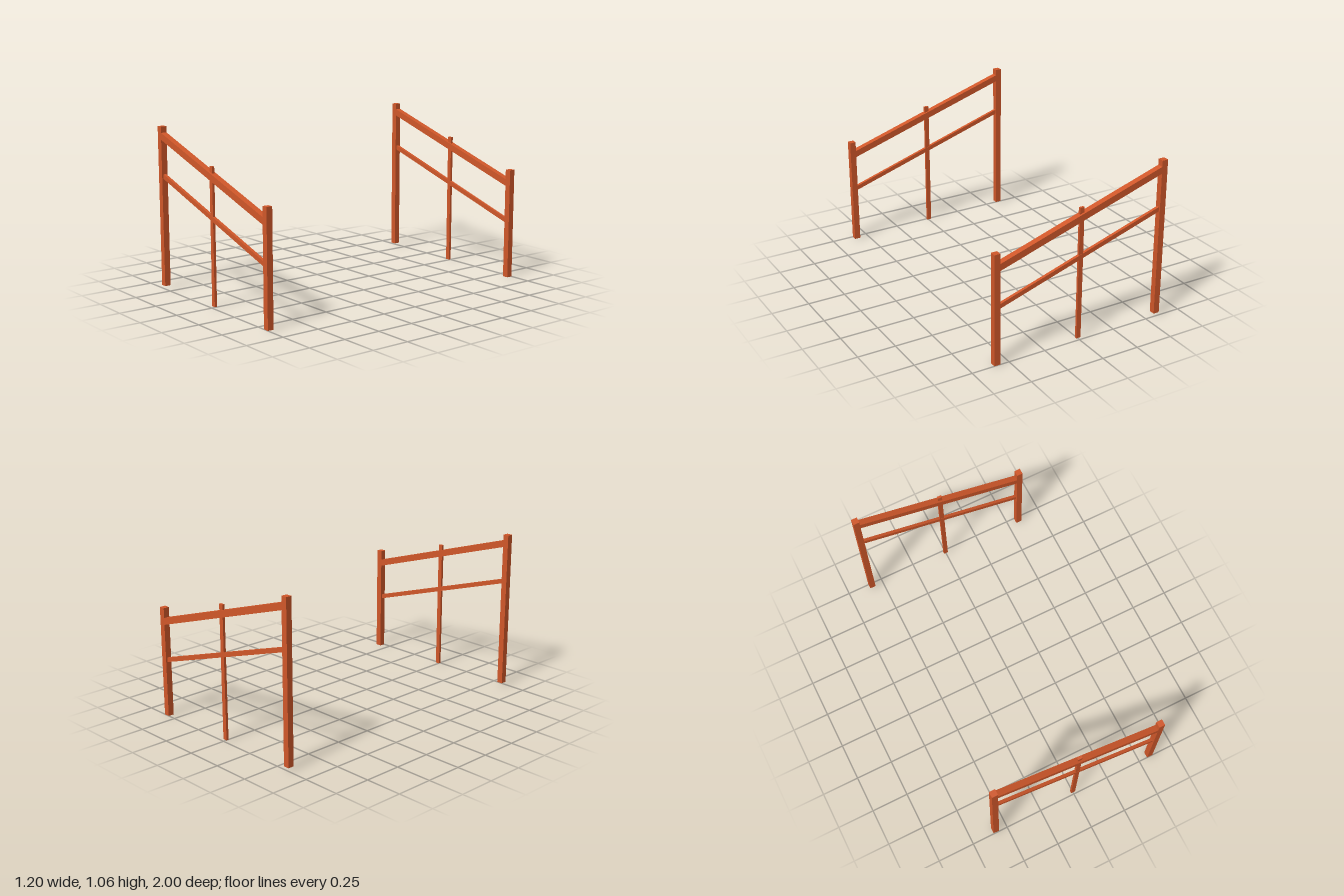
import * as THREE from 'three';

const material = new THREE.MeshStandardMaterial({ color: 0xd2582a });

// Upright post from y0 to y1
function post(name, x, y0, y1, width, depth) {
  const mesh = new THREE.Mesh(new THREE.BoxGeometry(width, y1 - y0, depth), material);
  mesh.name = name;
  mesh.position.set(x, (y0 + y1) / 2, 0);
  return mesh;
}

// Sloping rail with plumb-cut ends that sit flush against the posts
function rail(name, yHigh, yLow, height, depth) {
  const x = 0.56, h = height / 2;
  const shape = new THREE.Shape([
    new THREE.Vector2(-x, yHigh - h), new THREE.Vector2(x, yLow - h),
    new THREE.Vector2(x, yLow + h), new THREE.Vector2(-x, yHigh + h),
  ]);
  const geometry = new THREE.ExtrudeGeometry(shape, { depth, bevelEnabled: false });
  geometry.translate(0, 0, -depth / 2);
  const mesh = new THREE.Mesh(geometry, material);
  mesh.name = name;
  return mesh;
}

function railing(name, z) {
  const group = new THREE.Group();
  group.name = name;
  group.add(
    post('upperPost', -0.58, 0.02, 1.062, 0.04, 0.04),
    post('lowerPost', 0.58, 0, 0.73, 0.04, 0.04),
    post('middlePost', 0, 0.007, 0.882, 0.03, 0.016),
    rail('handRail', 1.0, 0.643, 0.045, 0.04),
    rail('midRail', 0.74, 0.383, 0.03, 0.02),
  );
  group.position.z = z;
  return group;
}

export function createModel() {
  const model = new THREE.Group();
  model.name = 'stairRailings';
  // Two identical railings, one on each side
  model.add(railing('frontRailing', 0.98), railing('backRailing', -0.98));
  return model;
}
